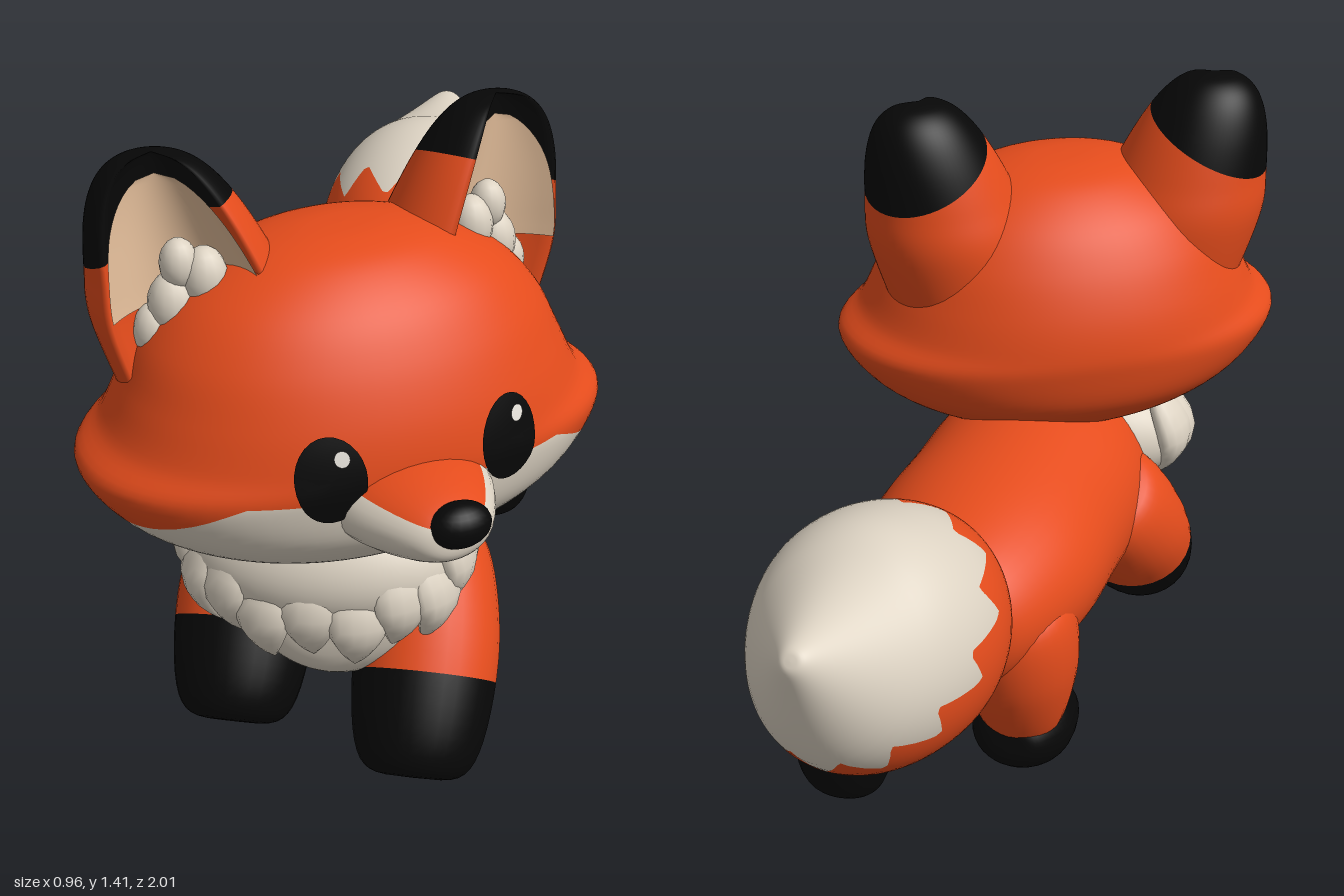
import * as THREE from 'three';

const material = (name, color) => Object.assign(new THREE.MeshStandardMaterial({ color }), { name });
const orange = material('orange fur', 0xe54c1c);
const cream = material('cream fur', 0xddd3c3);
const black = material('black fur', 0x070707);
const innerEar = material('inner ear', 0xe6c09c);
const white = material('eye shine', 0xe8e4dc);

// Smooth interpolation through a list of rows, t in 0..1
function sample(rows, t) {
  const n = rows.length - 1, i = Math.min(Math.floor(t * n), n - 1), f = t * n - i;
  const at = (k) => rows[Math.max(0, Math.min(n, k))];
  return rows[0].map((_, c) => {
    const [a, b, d, e] = [at(i - 1)[c], at(i)[c], at(i + 1)[c], at(i + 2)[c]];
    return b + 0.5 * f * (d - a + f * (2 * a - 5 * b + 4 * d - e + f * (3 * (b - d) + e - a)));
  });
}

// Surface from point(u, v); v may close on itself
function grid(nu, nv, point, { wrap = true, flip = false } = {}) {
  const pos = [], idx = [], w = wrap ? nv : nv + 1;
  for (let i = 0; i <= nu; i++) for (let j = 0; j < w; j++) pos.push(...point(i / nu, j / nv));
  for (let i = 0; i < nu; i++) for (let j = 0; j < nv; j++) {
    const a = i * w + j, c = i * w + (j + 1) % w, b = a + w, d = c + w;
    idx.push(...(flip ? [a, c, b, b, c, d] : [a, b, c, b, d, c]));
  }
  const geo = new THREE.BufferGeometry();
  geo.setAttribute('position', new THREE.Float32BufferAttribute(pos, 3));
  geo.setIndex(idx);
  geo.computeVertexNormals();
  return geo;
}

// Rounded solid along rows of [x, y, z, half width, half thickness]
function blob(rows, k = 0.5, nu = 28, nv = 32) {
  const X = new THREE.Vector3(1, 0, 0);
  return grid(nu, nv, (u, v) => {
    const s = (1 - Math.cos(Math.PI * u)) / 2, e = 0.01;
    const [x, y, z, rx, rn] = sample(rows, s);
    const p = sample(rows, Math.max(0, s - e)), q = sample(rows, Math.min(1, s + e));
    const T = new THREE.Vector3(q[0] - p[0], q[1] - p[1], q[2] - p[2]);
    const N = X.clone().cross(T).normalize();
    const cap = Math.pow(Math.max(0, Math.sin(Math.PI * u)), k), a = v * Math.PI * 2;
    const c = Math.cos(a) * rx * cap, n = Math.sin(a) * rn * cap;
    return [x + c, y + n * N.y, z + n * N.z];
  });
}

// Cuts the surface along f = 0: first group where f > 0, second elsewhere
function paint(geo, f) {
  const g = geo.toNonIndexed(), P = g.attributes.position.array, N = g.attributes.normal.array;
  const out = [[], []];
  for (let t = 0; t < P.length; t += 9) {
    const tri = [0, 3, 6].map((o) => [...P.slice(t + o, t + o + 3), ...N.slice(t + o, t + o + 3)]);
    const d = tri.map((p) => f(p[0], p[1], p[2]));
    [1, -1].forEach((sign, part) => {
      const poly = [];
      for (let k = 0; k < 3; k++) {
        const m = (k + 1) % 3, h = d[k] / (d[k] - d[m]);
        if (sign * d[k] >= 0) poly.push(tri[k]);
        if (d[k] * d[m] < 0) poly.push(tri[k].map((q, c) => q + (tri[m][c] - q) * h));
      }
      for (let k = 2; k < poly.length; k++) out[part].push(poly[0], poly[k - 1], poly[k]);
    });
  }
  const all = out.flat(), res = new THREE.BufferGeometry();
  res.setAttribute('position', new THREE.Float32BufferAttribute(all.flatMap((p) => p.slice(0, 3)), 3));
  res.setAttribute('normal', new THREE.Float32BufferAttribute(all.flatMap((p) => p.slice(3)), 3));
  res.addGroup(0, out[0].length, 0);
  res.addGroup(out[0].length, out[1].length, 1);
  return res;
}

function add(parent, name, geo, mat) {
  const mesh = new THREE.Mesh(geo, mat);
  mesh.name = name;
  parent.add(mesh);
  return mesh;
}

// Head cross-sections: [height, half width, half depth]
const headRows = [[0.605, 0, 0], [0.612, 0.12, 0.1], [0.635, 0.26, 0.19], [0.68, 0.38, 0.26], [0.75, 0.475, 0.315],
  [0.84, 0.53, 0.335], [0.9, 0.475, 0.335], [0.98, 0.435, 0.315], [1.07, 0.39, 0.275], [1.15, 0.315, 0.22],
  [1.21, 0.205, 0.145], [1.235, 0.1, 0.07], [1.24, 0, 0]];
const POW = 2.05;
const bend = (c) => Math.sign(c) * Math.pow(Math.abs(c), 2 / POW);

// Depth of the face surface at (x, y)
function faceZ(x, y) {
  let lo = 0, hi = 1;
  for (let i = 0; i < 24; i++) {
    const m = (lo + hi) / 2;
    if (sample(headRows, m)[0] < y) lo = m; else hi = m;
  }
  const [, a, b] = sample(headRows, lo);
  return b * Math.pow(Math.max(0, 1 - Math.pow(Math.abs(x / a), POW)), 1 / POW);
}

// Thin oval lying on the face
const facePlate = (cx, cy, rx, ry, lift) => grid(6, 28, (u, v) => {
  const x = cx + Math.cos(v * Math.PI * 2) * rx * u, y = cy + Math.sin(v * Math.PI * 2) * ry * u;
  return [x, y, faceZ(x, y) + lift];
});

// Ear cross-sections: [height, centre offset, half width]
const earRows = [[0.94, 0.24, 0.18], [1.1, 0.275, 0.195], [1.2, 0.3, 0.175], [1.3, 0.325, 0.145],
  [1.37, 0.34, 0.108], [1.408, 0.345, 0.062], [1.42, 0.345, 0]];

function addEar(head, side) {
  const ear = new THREE.Group();
  ear.name = side > 0 ? 'leftEar' : 'rightEar';
  const turn = 0.3, cs = Math.cos(turn), sn = Math.sin(turn);
  const place = (x, y, z, c) => [side * (c + x * cs + z * sn), y, z * cs - x * sn - 0.05];
  // deep rim around a hollow front
  const front = (s) => 0.85 * s - 2.4 * Math.max(0, s - 0.62);
  const flip = side < 0;
  const shell = grid(40, 64, (u, v) => {
    const [y, c, w] = sample(earRows, u), a = v * Math.PI * 2, s = Math.sin(a);
    return place(w * Math.cos(a), y, w * (s > 0 ? front(s) : 0.9 * s), c);
  }, { flip });
  add(ear, 'earShell', paint(shell, (x, y, z) => y - 1.275 + 0.4 * (side * x - 0.33) - 0.3 * (z + 0.05)), [black, orange]);
  // hollow lining
  add(ear, 'earLining', grid(16, 20, (u, v) => {
    const [y, c, w] = sample(earRows, 0.2 + 0.5 * u);
    const q = 0.76 * (1 - 2 * v) * Math.sqrt(Math.max(0, 1 - Math.pow(u, 3)));
    return place(w * q, y, w * front(Math.sqrt(1 - q * q)) + 0.008, c);
  }, { wrap: false, flip }), innerEar);
  // fluff
  for (const [x, y, r] of [[-0.05, 1.1, 0.06], [-0.035, 1.18, 0.055], [0.01, 1.21, 0.045], [0.025, 1.13, 0.058], [0.06, 1.08, 0.05]]) {
    const tuft = add(ear, 'earFluff', new THREE.SphereGeometry(r, 14, 10), cream);
    tuft.position.set(...place(x, y, 0.035, 0.295));
    tuft.scale.set(0.8, 1.1, 0.8);
  }
  head.add(ear);
}

function makeHead() {
  const head = new THREE.Group();
  head.name = 'head';
  const skull = grid(72, 80, (u, v) => {
    const [y, a, b] = sample(headRows, u), t = v * Math.PI * 2, s = Math.sin(t);
    return [a * bend(Math.cos(t)), y, b * bend(s) * (s < 0 ? 1.08 : 1)];
  });
  add(head, 'skull', paint(skull, (x, y, z) =>
    Math.min(0.85 - 0.55 * Math.max(0, Math.abs(x) - 0.32) - y, z - 0.03)), [cream, orange]);
  const snout = blob([[0, 0.81, 0.2, 0.19, 0.1], [0, 0.815, 0.34, 0.145, 0.085], [0, 0.82, 0.48, 0.09, 0.062]]);
  add(head, 'snout', paint(snout, (x, y) => 0.84 + 0.2 * Math.abs(x) - y), [cream, orange]);
  const nose = add(head, 'nose', new THREE.SphereGeometry(1, 20, 14), black);
  nose.scale.set(0.06, 0.043, 0.042);
  nose.position.set(0.01, 0.842, 0.465);
  for (const side of [-1, 1]) {
    add(head, 'eye', facePlate(0.01 + side * 0.18, 0.895, 0.064, 0.082, 0.006), black);
    add(head, 'eyeShine', facePlate(0.03 + side * 0.18, 0.938, 0.014, 0.015, 0.011), white);
    addEar(head, side);
  }
  head.position.z = 0.58;
  head.rotation.y = 0.62;
  return head;
}

export function createModel() {
  const fox = new THREE.Group();
  fox.name = 'fox';
  fox.add(makeHead());

  // Body with pale belly and chest
  const body = blob([[-0.02, 0.46, 0.72, 0.22, 0.22], [-0.02, 0.46, 0.46, 0.275, 0.262], [-0.02, 0.465, 0.2, 0.272, 0.255],
    [-0.02, 0.485, -0.06, 0.285, 0.235], [-0.02, 0.49, -0.32, 0.25, 0.22]], 0.42, 44, 56);
  add(fox, 'body', paint(body, (x, y, z) =>
    Math.max(Math.min(0.345 - y, z + 0.04), z - 0.56)), [cream, orange]);

  // Chest ruff: smooth bib edged with hanging tufts
  const core = add(fox, 'ruffBib', new THREE.SphereGeometry(1, 36, 24), cream);
  core.scale.set(0.285, 0.155, 0.185);
  core.position.set(-0.04, 0.54, 0.595);
  const tuft = blob([[0, 0.09, -0.04, 0.06, 0.03], [0, 0.0, 0.01, 0.065, 0.035], [0, -0.07, 0.0, 0.04, 0.025], [0, -0.13, -0.03, 0.006, 0.006]], 0.5, 14, 14);
  const tufts = 11;
  for (let i = 0; i < tufts; i++) {
    const a = 1.75 * (2 * i / (tufts - 1) - 1);
    const m = add(fox, 'ruffTuft', tuft, cream);
    m.position.set(-0.04 + Math.sin(a) * 0.265, 0.555 - 0.085 * Math.cos(a) + (i % 2) * 0.025, 0.59 + Math.cos(a) * 0.155);
    m.rotation.y = a;
  }

  // Front legs reaching forward
  for (const [name, x, dy, dz] of [['leftFrontLeg', 0.165, 0, 0], ['rightFrontLeg', -0.23, 0.015, -0.1]]) {
    const inward = x > 0 ? -0.01 : 0.02;
    const leg = blob([[x + inward, 0.5 + dy, 0.4 + dz * 0.5, 0.13, 0.16], [x, 0.32 + dy, 0.57 + dz, 0.148, 0.138],
      [x, 0.105 + dy, 0.745 + dz, 0.148, 0.138]], 0.45);
    add(fox, name, paint(leg, (px, y, z) => (z - dz - 0.6) * 0.64 - (y - dy - 0.25) * 0.77), [black, orange]);
  }

  // Left hind leg kicked back, right hind leg under the body
  add(fox, 'leftHindLeg', blob([[0.13, 0.48, 0.02, 0.12, 0.17], [0.15, 0.39, -0.16, 0.13, 0.16], [0.165, 0.3, -0.34, 0.1, 0.115]]), orange);
  add(fox, 'leftHindPaw', blob([[0.165, 0.42, -0.3, 0.105, 0.075], [0.165, 0.25, -0.36, 0.122, 0.105], [0.165, 0.065, -0.385, 0.11, 0.085]]), black);
  add(fox, 'rightHindLeg', blob([[-0.16, 0.52, -0.14, 0.14, 0.16], [-0.16, 0.32, -0.12, 0.13, 0.14], [-0.16, 0.11, -0.1, 0.1, 0.09]]), orange);
  add(fox, 'rightHindPaw', blob([[-0.155, 0.14, -0.2, 0.09, 0.07], [-0.155, 0.115, -0.08, 0.118, 0.105], [-0.155, 0.085, 0.08, 0.11, 0.08]]), black);

  // Bushy tail with a zigzag pale tip
  const tail = blob([[-0.03, 0.57, -0.23, 0.1, 0.1], [-0.03, 0.635, -0.4, 0.215, 0.225], [-0.03, 0.7, -0.6, 0.25, 0.262],
    [-0.03, 0.78, -0.8, 0.205, 0.23], [-0.03, 0.915, -1, 0.05, 0.05]], 0.5, 56, 104);
  add(fox, 'tail', paint(tail, (x, y, z) => {
    const turn = Math.atan2(x + 0.03, (z + 0.6) * 0.44 + (y - 0.7) * 0.9) / (2 * Math.PI) + 1;
    const zigzag = Math.abs((turn * 13) % 1 - 0.5) - 0.25;
    return -0.55 * z + 0.835 * y - 0.995 - 0.17 * zigzag;
  }), [cream, orange]);
  return fox;
}
